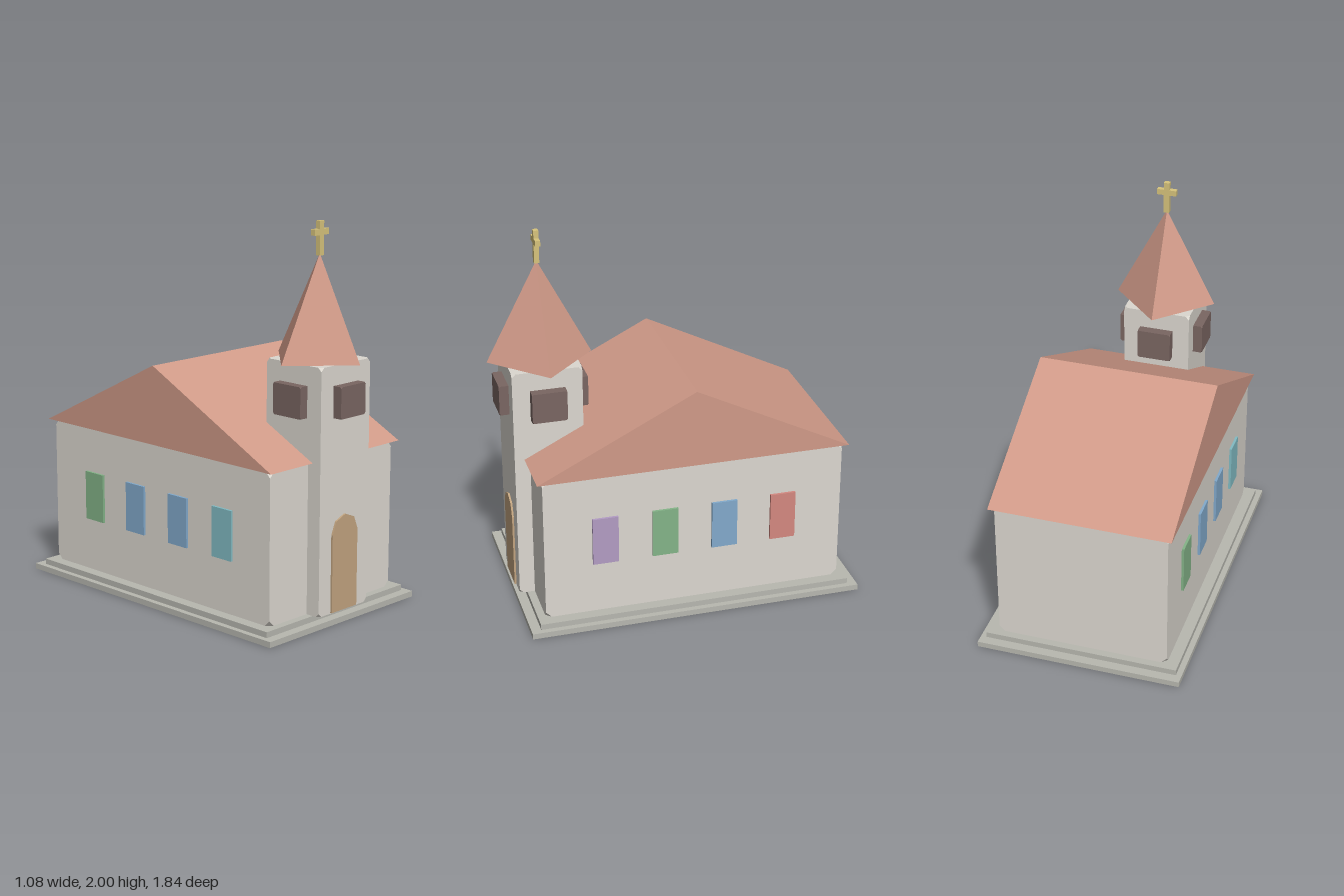
import * as THREE from 'three';
import { ConvexGeometry } from 'three/addons/geometries/ConvexGeometry.js';

const mat = (color) => new THREE.MeshStandardMaterial({ color, flatShading: true });
const wall = mat(0xdcd8d0), stone = mat(0xb8b8b0), tile = mat(0xd09a88);
const wood = mat(0xc2a480), dark = mat(0x7a6662), gold = mat(0xd8c47c);

export function createModel() {
  const church = new THREE.Group();
  church.name = 'church';

  const add = (name, geometry, material, parent = church) => {
    const mesh = new THREE.Mesh(geometry, material);
    mesh.name = name;
    parent.add(mesh);
    return mesh;
  };
  const box = (name, w, h, d, x, y, z, material, parent) =>
    add(name, new THREE.BoxGeometry(w, h, d), material, parent).position.set(x, y, z);

  // Box whose eight corners are cut off by c
  const cutBox = (name, w, h, d, x, y, z, c, material, parent) => {
    const points = [];
    for (const i of [-1, 1]) for (const j of [-1, 1]) for (const k of [-1, 1]) {
      const corner = new THREE.Vector3(i * w / 2, j * h / 2, k * d / 2);
      points.push(corner.clone().add(new THREE.Vector3(-i * c, 0, 0)));
      points.push(corner.clone().add(new THREE.Vector3(0, -j * c, 0)));
      points.push(corner.clone().add(new THREE.Vector3(0, 0, -k * c)));
    }
    add(name, new ConvexGeometry(points), material, parent).position.set(x, y, z);
  };

  // Stepped plinth
  box('lowerStep', 1.08, 0.03, 1.76, 0, 0.015, -0.04, stone);
  box('upperStep', 1.02, 0.03, 1.66, 0, 0.045, -0.04, stone);

  // Nave
  cutBox('nave', 0.9, 0.78, 1.58, 0, 0.45, -0.04, 0.03, wall);

  // Roof: a solid prism with its ridge running across
  const gable = new THREE.Shape([
    new THREE.Vector2(-0.86, 0.84), new THREE.Vector2(0.78, 0.84), new THREE.Vector2(-0.04, 1.25),
  ]);
  const roof = new THREE.ExtrudeGeometry(gable, { depth: 0.95, bevelEnabled: false });
  roof.rotateY(-Math.PI / 2).translate(0.475, 0, 0);
  add('roof', roof, tile);

  // Coloured side windows, front to back
  const sides = [
    [1, 'left', [0xb39cc4, 0x84b488, 0x82aacc, 0xd48880]],
    [-1, 'right', [0x82bcc4, 0x82aacc, 0x82aacc, 0x84b488]],
  ];
  for (const [s, side, colors] of sides) {
    const windows = new THREE.Group();
    windows.name = side + 'Windows';
    church.add(windows);
    colors.forEach((color, i) =>
      box(side + 'Window' + (i + 1), 0.03, 0.26, 0.135, s * 0.448, 0.47, 0.432 - i * 0.315, mat(color), windows));
  }

  // Tower with belfry openings on all four sides
  const tower = new THREE.Group();
  tower.name = 'tower';
  tower.position.z = 0.65;
  church.add(tower);
  cutBox('towerShaft', 0.36, 1.26, 0.36, 0, 0.69, 0, 0.02, wall, tower);
  cutBox('sideBelfryOpenings', 0.46, 0.16, 0.18, 0, 1.14, 0, 0.008, dark, tower);
  cutBox('frontBackBelfryOpenings', 0.18, 0.16, 0.46, 0, 1.14, 0, 0.008, dark, tower);

  // Spire, turned with its corners to the front and sides
  add('spire', new THREE.ConeGeometry(0.27, 0.52, 4), tile, tower).position.y = 1.58;

  // Cross
  box('crossUpright', 0.03, 0.17, 0.026, 0, 1.915, 0, gold, tower);
  box('crossArm', 0.104, 0.03, 0.026, 0, 1.945, 0, gold, tower);

  // Arched door
  const arch = new THREE.Shape();
  arch.moveTo(-0.093, 0.065);
  arch.lineTo(0.093, 0.065);
  for (let i = 0; i <= 4; i++) {
    const a = i * Math.PI / 4;
    arch.lineTo(0.093 * Math.cos(a), 0.468 + 0.093 * Math.sin(a));
  }
  arch.closePath();
  add('door', new THREE.ExtrudeGeometry(arch, { depth: 0.03, bevelEnabled: false }), wood).position.z = 0.81;

  return church;
}
